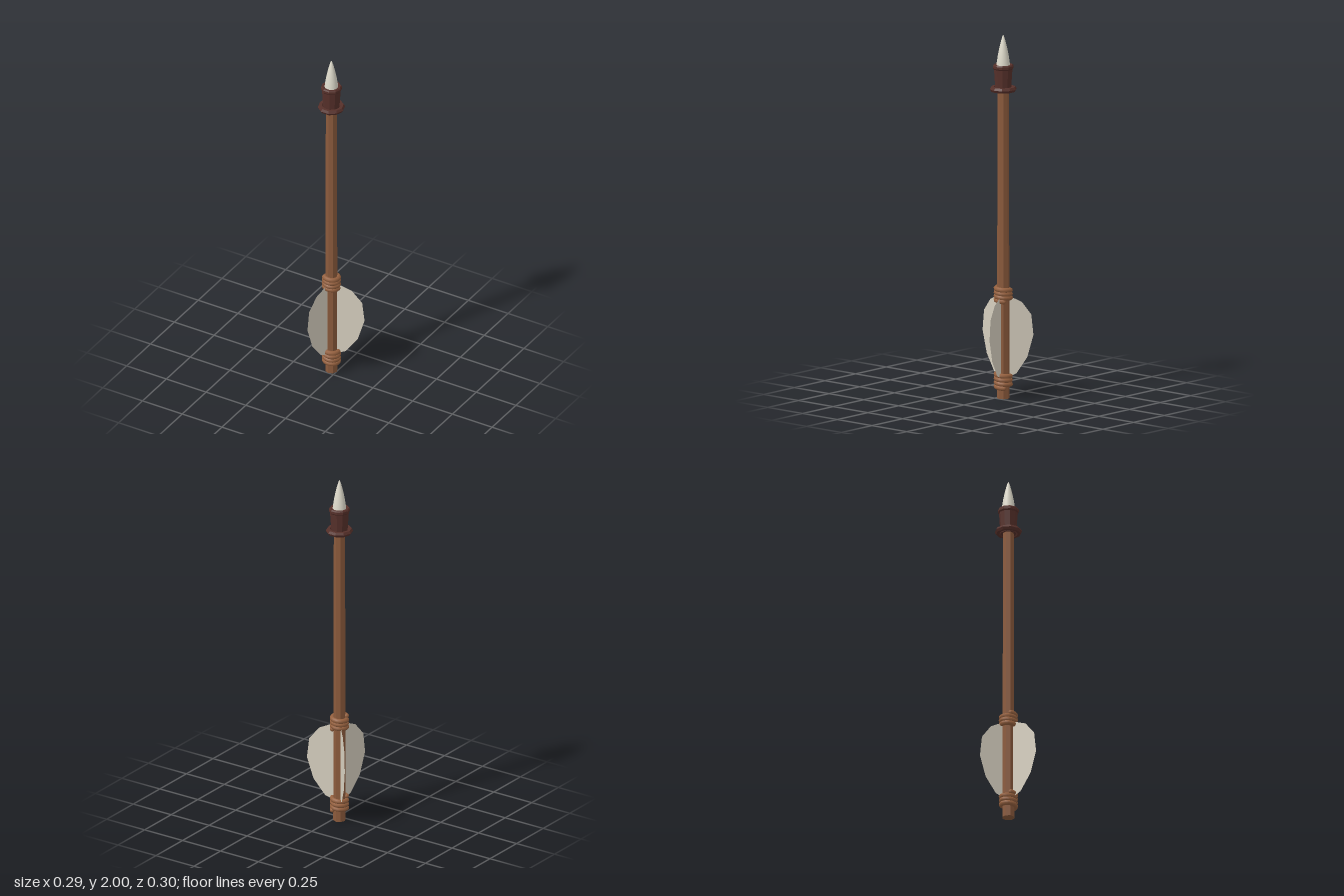
import * as THREE from 'three';

const mat = (name, color, extra = {}) =>
  Object.assign(new THREE.MeshStandardMaterial({ color, ...extra }), { name });

export function createModel() {
  const wood = mat('shaft wood', 0x8b5a3c, { flatShading: true });
  const cord = mat('cord', 0x96613f);
  const leather = mat('dark leather', 0x56302a, { flatShading: true });
  const bone = mat('bone', 0xdedacb);
  const vane = mat('feather', 0xd6cfbf, { side: THREE.DoubleSide });

  const model = new THREE.Group();
  model.name = 'arrow';
  // the uneven fletching puts the shaft axis off centre
  const arrow = new THREE.Group();
  arrow.name = 'arrowBody';
  arrow.position.set(-0.032, 0, -0.034);
  model.add(arrow);

  const add = (name, geometry, material) => {
    const mesh = new THREE.Mesh(geometry, material);
    mesh.name = name;
    arrow.add(mesh);
    return mesh;
  };
  const lathe = (pts, sides) =>
    new THREE.LatheGeometry(pts.map(([r, y]) => new THREE.Vector2(r, y)), sides).rotateY(Math.PI / 2);

  // shaft
  add('shaft', new THREE.CylinderGeometry(0.031, 0.034, 1.72, 8).translate(0, 0.86, 0), wood);

  // socket with a bevelled rim and a flared collar beneath it
  add('socket', lathe([
    [0, 1.69], [0.043, 1.69], [0.045, 1.72], [0.051, 1.81], [0.057, 1.817],
    [0.057, 1.83], [0.052, 1.837], [0.045, 1.835], [0, 1.83],
  ], 10), leather);
  add('collar', new THREE.TorusGeometry(0.059, 0.015, 6, 10)
    .rotateX(Math.PI / 2).translate(0, 1.702, 0), leather);

  // pointed tip
  add('tip', lathe([
    [0.038, 1.82], [0.035, 1.85], [0.029, 1.89], [0.021, 1.93], [0.012, 1.967], [0.005, 1.99], [0, 2],
  ], 32), bone);

  // cord bindings: helical coils whose lower end hangs at the back left
  class Coil extends THREE.Curve {
    constructor(y0, y1, turns) { super(); Object.assign(this, { y0, y1, turns }); }
    getPoint(t, target = new THREE.Vector3()) {
      const a = -Math.PI / 4 + t * this.turns * Math.PI * 2;
      return target.set(Math.cos(a) * 0.039, this.y0 + (this.y1 - this.y0) * t, Math.sin(a) * 0.039);
    }
  }
  const r = 0.0135;
  for (const [name, y0, y1] of [['lowerBinding', 0.06, 0.138], ['upperBinding', 0.537, 0.61]]) {
    const coil = new Coil(y0, y1, 3.5);
    add(name, new THREE.TubeGeometry(coil, 64, r, 8), cord);
    for (const t of [0, 1]) {
      add(name + 'End', new THREE.SphereGeometry(r, 8, 6), cord).position.copy(coil.getPoint(t));
    }
  }

  // three upright vanes, each given by the direction and reach of its widest point
  const outline = [[0.1, 0.11], [0.44, 0.135], [0.8, 0.225], [1, 0.346], [0.93, 0.458],
    [0.62, 0.528], [0.22, 0.56], [0.1, 0.56]];
  for (const [x, z] of [[0.175, -0.056], [-0.04, 0.184], [-0.116, -0.115]]) {
    const reach = Math.hypot(x, z);
    const shape = new THREE.Shape(outline.map(([f, y]) => new THREE.Vector2(f * reach, y)));
    add('feather', new THREE.ShapeGeometry(shape), vane).rotation.y = Math.atan2(-z, x);
  }
  return model;
}
